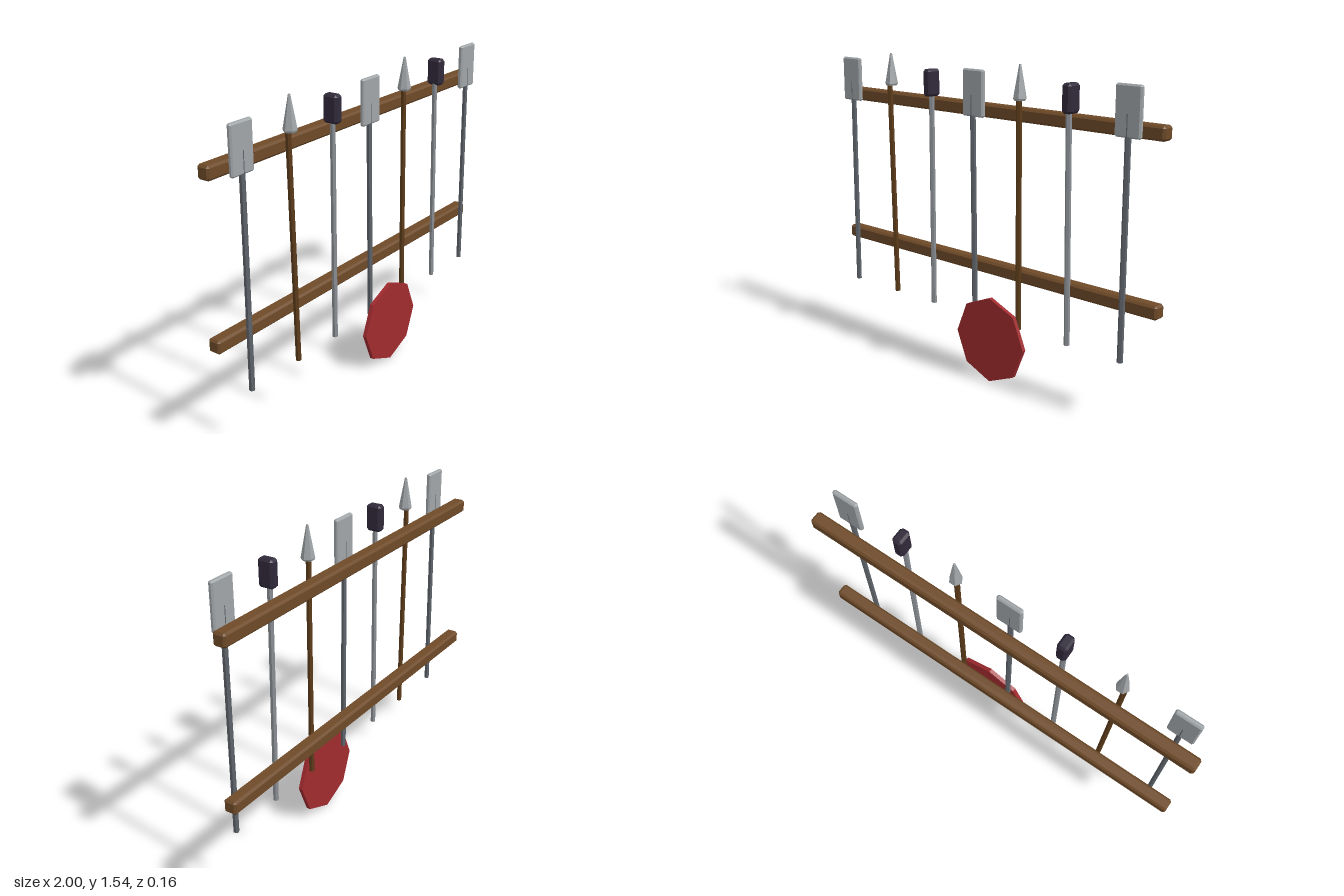
import * as THREE from 'three';
import { ConvexGeometry } from 'three/addons/geometries/ConvexGeometry.js';

const flat = (name, color) => {
  const m = new THREE.MeshStandardMaterial({ color });
  m.name = name;
  return m;
};

// Box whose edges and corners are all cut by c
function chamferBox(w, h, d, c) {
  const pts = [];
  for (const sx of [-1, 1]) for (const sy of [-1, 1]) for (const sz of [-1, 1]) {
    const x = w / 2, y = h / 2, z = d / 2;
    pts.push(
      new THREE.Vector3(sx * x, sy * (y - c), sz * (z - c)),
      new THREE.Vector3(sx * (x - c), sy * y, sz * (z - c)),
      new THREE.Vector3(sx * (x - c), sy * (y - c), sz * z));
  }
  return new ConvexGeometry(pts);
}

// Faceted cylinder with one face per side
function prism(rTop, rBottom, h, sides) {
  const g = new THREE.CylinderGeometry(rTop, rBottom, h, sides).toNonIndexed();
  g.computeVertexNormals();
  return g;
}

export function createModel() {
  const model = new THREE.Group();
  model.name = 'weaponRack';
  const railWood = flat('rail wood', 0x6e4a28);
  const shaftWood = flat('shaft wood', 0x5c3b1a);
  const darkSteel = flat('dark steel', 0x5e646b);
  const greySteel = flat('grey steel', 0x8a8f94);
  const paleSteel = flat('pale steel', 0xa0a5a8);
  const darkIron = flat('dark iron', 0x30293a);
  const shieldRed = flat('shield red', 0xa02a2e);

  const add = (parent, name, geometry, material, x, y, z) => {
    const mesh = new THREE.Mesh(geometry, material);
    mesh.name = name;
    mesh.position.set(x, y, z);
    parent.add(mesh);
    return mesh;
  };

  // Two horizontal rails
  const rail = chamferBox(2, 0.064, 0.064, 0.01);
  add(model, 'upperRail', rail, railWood, 0, 1.303, -0.046);
  add(model, 'lowerRail', rail, railWood, 0, 0.538, -0.046);

  // Heads for the three kinds of weapon
  const shaft = prism(0.0135, 0.0135, 1.08, 6);
  const spear = prism(0.005, 0.032, 0.15, 6).rotateY(Math.PI / 6);
  const spearBase = prism(0.032, 0.027, 0.01, 6).rotateY(Math.PI / 6);
  const kinds = {
    axe: { shaft: darkSteel, parts: [['blade', chamferBox(0.13, 0.22, 0.024, 0.007), paleSteel, 1.39]] },
    spear: { shaft: shaftWood, parts: [['spearTip', spear, paleSteel, 1.465], ['spearTipBase', spearBase, paleSteel, 1.385]] },
    mace: { shaft: greySteel, parts: [['maceHead', chamferBox(0.05, 0.13, 0.077, 0.011), darkIron, 1.416]] },
  };

  // Row of weapons: kind, x, sideways lean from foot to top
  const row = [
    ['axe', -0.87, 0.004], ['spear', -0.57, -0.026], ['mace', -0.283, 0],
    ['axe', -0.003, -0.014], ['spear', 0.279, -0.008], ['mace', 0.564, -0.018],
    ['axe', 0.863, -0.002],
  ];
  for (const [kind, x, lean] of row) {
    const weapon = new THREE.Group();
    weapon.name = kind;
    weapon.position.set(x, 0, 0.041);
    add(weapon, 'shaft', shaft, kinds[kind].shaft, 0, 0.84, 0).rotation.z = -lean / 1.08;
    for (const [name, geometry, material, y] of kinds[kind].parts) add(weapon, name, geometry, material, 0, y, 0);
    model.add(weapon);
  }

  // Octagonal shield leaning at the foot
  const shield = prism(0.2125, 0.2125, 0.02, 8).rotateX(Math.PI / 2);
  add(model, 'shield', shield, shieldRed, 0.131, 0.2145, 0.068);

  return model;
}
